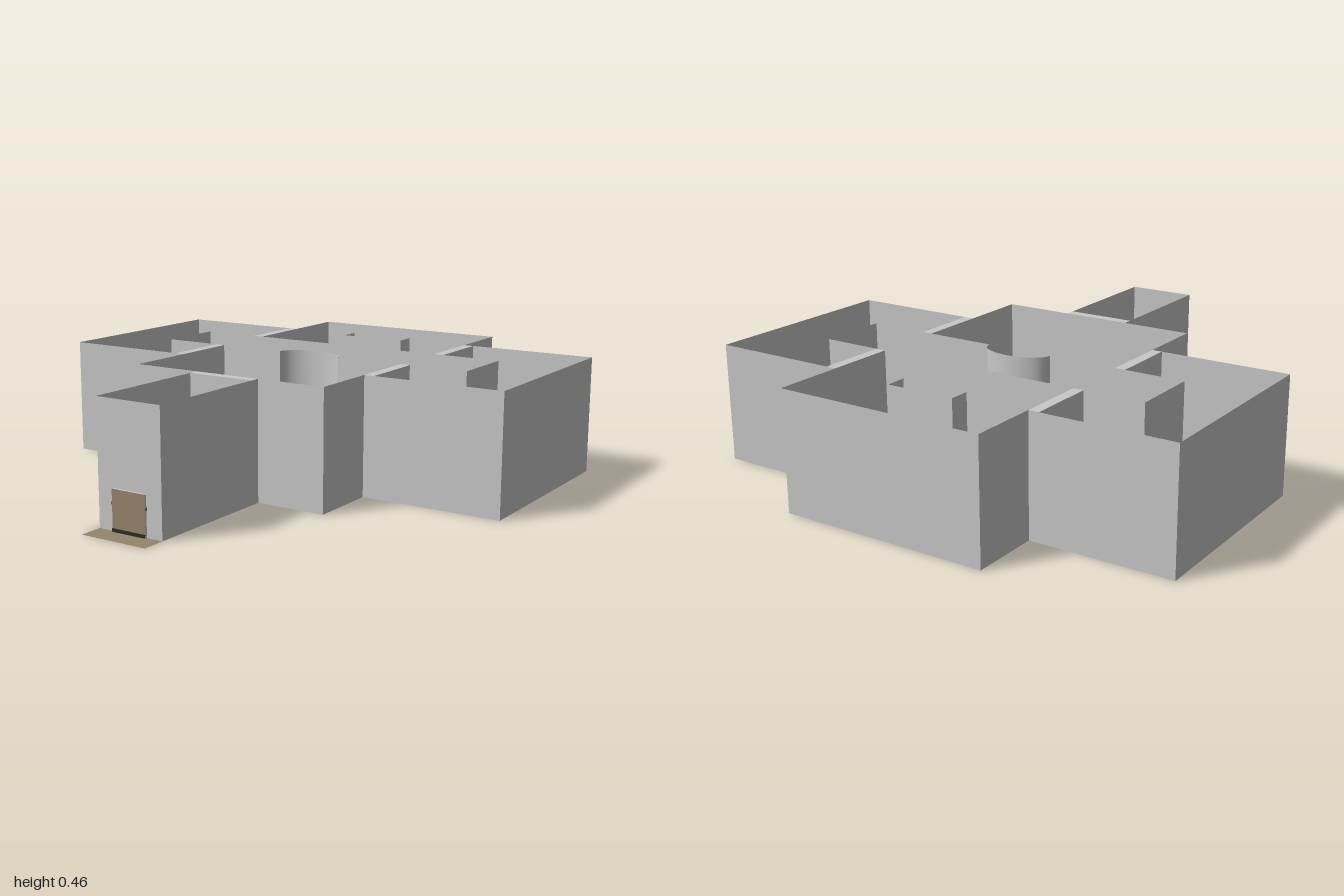
import * as THREE from 'three';

const H = 0.455; // wall height

function mat(name, color, side = THREE.FrontSide) {
  const m = new THREE.MeshStandardMaterial({ color, side });
  m.name = name;
  return m;
}

// Shape drawn in plan: points are [x, z]
function planShape(points) {
  return new THREE.Shape(points.map(([x, z]) => new THREE.Vector2(x, -z)));
}

// Thin upright wall that follows a plan path; smooth shares normals along the path
function wallGeometry(path, smooth = false) {
  const pos = [];
  const index = [];
  path.forEach(([x, z]) => pos.push(x, 0, z, x, H, z));
  for (let i = 0; i < path.length - 1; i++) {
    const a = i * 2;
    index.push(a, a + 2, a + 3, a, a + 3, a + 1);
  }
  let g = new THREE.BufferGeometry();
  g.setAttribute('position', new THREE.Float32BufferAttribute(pos, 3));
  g.setIndex(index);
  if (!smooth) g = g.toNonIndexed();
  g.computeVertexNormals();
  return g;
}

export function createModel() {
  const group = new THREE.Group();
  group.name = 'building';
  const wallGrey = mat('wall grey', 0xc8c8c8, THREE.DoubleSide);
  const floorBrown = mat('floor brown', 0x96856c, THREE.DoubleSide);
  const darkGrey = mat('dark grey', 0x6e6e72);
  const sillDark = mat('sill dark', 0x2e2b28);

  function add(name, geometry, material, x = 0, y = 0, z = 0) {
    const m = new THREE.Mesh(geometry, material);
    m.name = name;
    m.position.set(x, y, z);
    group.add(m);
    return m;
  }

  // Cross-shaped floor with the courtyard left open
  const half = [[0.135, 1], [0.135, 0.36], [0.41, 0.36], [0.41, 0.085], [0.955, 0.085],
    [0.955, -0.73], [0.41, -0.73], [0.41, -1]];
  const mirrored = half.map(([x, z]) => [-x, z]).reverse();
  const floorShape = planShape([...half, ...mirrored]);
  floorShape.holes.push(planShape([[-0.685, -0.46], [0.685, -0.46], [0.685, -0.185], [0.135, -0.185],
    [0.135, -0.275], [-0.135, -0.275], [-0.135, -0.185], [-0.685, -0.185]]));
  add('floor', new THREE.ShapeGeometry(floorShape).rotateX(-Math.PI / 2), floorBrown);

  // Walls repeated on both sides
  const sideWalls = {
    wingOuterWall: [[0.45, 0.085], [0.955, 0.085], [0.955, -0.73], [0.45, -0.73]],
    wingCourtyardWall: [[0.45, -0.46], [0.685, -0.46], [0.685, -0.185], [0.45, -0.185]],
    hallSideWall: [[0.135, 0.36], [0.41, 0.36], [0.41, 0.085]],
    hallCourtyardWall: [[0.41, -0.185], [0.135, -0.185]],
  };
  for (const s of [1, -1]) {
    for (const [name, path] of Object.entries(sideWalls)) {
      const points = path.map(([x, z]) => [s * x, z]);
      if (s < 0) points.reverse();
      add(name, wallGeometry(points), wallGrey);
    }
  }

  // Porch and back room walls
  add('porchWall', wallGeometry([[-0.135, 0.4], [-0.135, 0.91], [0.135, 0.91], [0.135, 0.4]]), wallGrey);
  add('backRoomWall', wallGeometry([[0.41, -0.73], [0.41, -1], [-0.41, -1], [-0.41, -0.73]]), wallGrey);
  add('backRoomCourtyardWall', wallGeometry([[-0.41, -0.46], [0.41, -0.46]]), wallGrey);

  // Rounded niche behind the dais
  const niche = [];
  for (let i = 0; i <= 16; i++) {
    const a = (i / 16) * Math.PI;
    niche.push([0.135 * Math.cos(a), -0.185 - 0.08 * Math.sin(a)]);
  }
  add('nicheWall', wallGeometry(niche, true), wallGrey);

  // Thick partitions with doorways between the rooms
  const doorway = new THREE.Shape();
  [[-0.135, 0], [-0.11, 0], [-0.11, 0.2], [0.11, 0.2], [0.11, 0], [0.135, 0], [0.135, H], [-0.135, H]]
    .forEach(([x, y], i) => (i ? doorway.lineTo(x, y) : doorway.moveTo(x, y)));
  const partition = new THREE.ExtrudeGeometry(doorway, { depth: 0.04, bevelEnabled: false });
  partition.translate(0, 0, -0.02);
  add('porchPartition', partition, wallGrey, 0, 0, 0.38);
  for (const x of [-0.43, 0.43]) {
    for (const z of [-0.595, -0.05]) {
      add('wingPartition', partition, wallGrey, x, 0, z).rotation.y = Math.PI / 2;
    }
  }

  // Hollow pier in the middle of the back room
  add('backRoomPier', wallGeometry([[-0.135, -0.69], [0.135, -0.69], [0.135, -0.77],
    [-0.135, -0.77], [-0.135, -0.69]]), wallGrey);

  // Low dais with a rounded front
  const dais = new THREE.Shape();
  dais.moveTo(-0.135, 0.275);
  dais.lineTo(-0.135, 0.135);
  dais.absarc(0, 0.135, 0.135, Math.PI, Math.PI * 2, false);
  dais.lineTo(0.135, 0.275);
  const daisGeometry = new THREE.ExtrudeGeometry(dais, { depth: 0.02, bevelEnabled: false, curveSegments: 24 });
  add('dais', daisGeometry.rotateX(-Math.PI / 2), wallGrey, 0, 0.001, 0);

  // Entrance door: brown front, grey edges, dark sill and side hinges
  add('entranceDoor', new THREE.BoxGeometry(0.14, 0.15, 0.01),
    [wallGrey, wallGrey, wallGrey, wallGrey, floorBrown, wallGrey], 0, 0.075, 0.914);
  add('doorSill', new THREE.BoxGeometry(0.14, 0.012, 0.004), sillDark, 0, 0.007, 0.92);
  for (const x of [-0.072, 0.072]) {
    add('doorHinge', new THREE.BoxGeometry(0.005, 0.01, 0.008), darkGrey, x, 0.1, 0.915);
  }

  // Small ridged chest standing askew in the porch
  const chest = new THREE.Group();
  chest.name = 'chest';
  chest.position.set(0.09, 0, 0.68);
  chest.rotation.y = -Math.PI / 3;
  const parts = [['chestBody', 0.07, 0.03, 0.04, 0.015], ['chestLid', 0.07, 0.01, 0.015, 0.035]];
  for (const [name, w, h, d, y] of parts) {
    const m = new THREE.Mesh(new THREE.BoxGeometry(w, h, d), darkGrey);
    m.name = name;
    m.position.y = y;
    chest.add(m);
  }
  group.add(chest);

  return group;
}
